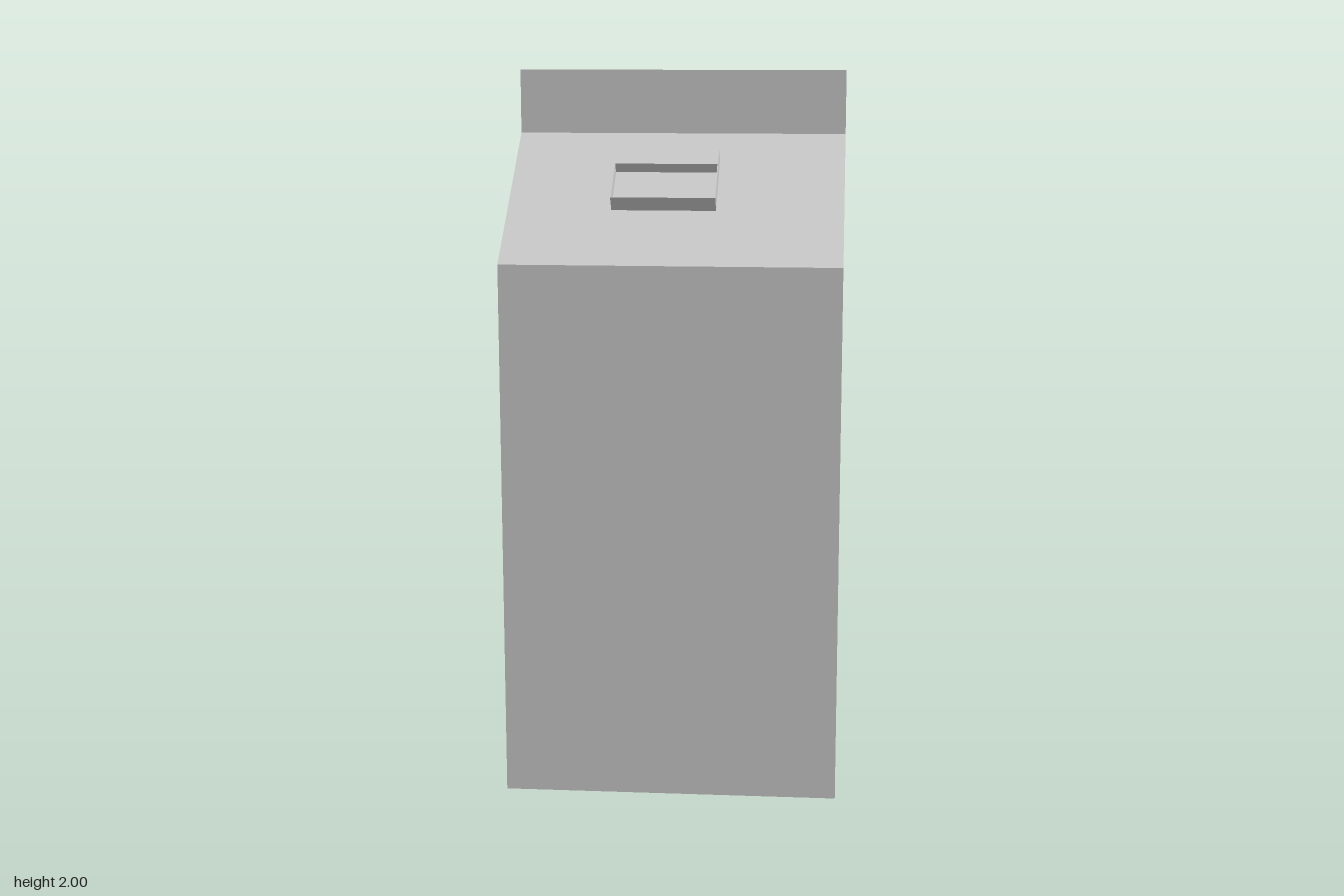
import * as THREE from 'three';

const W = 0.45; // half width of the carton

// Builds a flat-shaded mesh from convex polygons, each given as a loop of [x, y, z] corners
function polyMesh(name, polygons, material) {
  const pos = [];
  for (const p of polygons) {
    for (let i = 1; i < p.length - 1; i++) pos.push(...p[0], ...p[i], ...p[i + 1]);
  }
  const g = new THREE.BufferGeometry();
  g.setAttribute('position', new THREE.Float32BufferAttribute(pos, 3));
  g.computeVertexNormals();
  const m = new THREE.Mesh(g, material);
  m.name = name;
  return m;
}

export function createModel() {
  const root = new THREE.Group();
  root.name = 'carton';
  const card = new THREE.MeshStandardMaterial({ color: 0xcccccc });
  card.name = 'plain card';
  card.side = THREE.DoubleSide;

  // Outer sheet wrapped round the carton: [name, from, to] in (z, y)
  const strips = [
    ['baseFront', [0, 0], [W, 0.06]],
    ['frontWall', [W, 0.06], [W, 1.51]],
    ['frontRoof', [W, 1.51], [0.025, 1.827]],
    ['finFront', [0.025, 1.827], [0.025, 2]],
    ['finTop', [0.025, 2], [0, 1.98]],
    ['finBack', [0, 1.98], [0, 1.845]],
    ['backRoof', [0, 1.845], [-W, 1.51]],
    ['backWall', [-W, 1.51], [-W, 0.06]],
    ['baseBack', [-W, 0.06], [0, 0]],
  ];
  for (const [name, [za, ya], [zb, yb]] of strips) {
    root.add(polyMesh(name, [[[-W, ya, za], [W, ya, za], [W, yb, zb], [-W, yb, zb]]], card));
  }

  // Side walls with the gable folded inwards under the roof edges
  for (const s of [1, -1]) {
    const v = (z, y, depth = 0) => [s * (W - depth), y, z];
    const keel = v(0, 0), lowF = v(W, 0.06), lowB = v(-W, 0.06);
    const eaveF = v(W, 1.51), eaveB = v(-W, 1.51), peak = v(0, 1.845), finFoot = v(0.025, 1.827);
    const inF = v(0.365, 1.47, 0.015), inB = v(-0.365, 1.47, 0.015), inPeak = v(0.04, 1.735, 0.05);
    const add = (name, polys) =>
      root.add(polyMesh(name, s > 0 ? polys : polys.map((p) => p.slice().reverse()), card));
    add('sideWall', [
      [lowF, eaveF, inF].reverse(), [keel, inF, lowF], [keel, inB, inF],
      [keel, lowB, inB], [lowB, eaveB, inB],
    ]);
    add('gablePanel', [[inF, inB, inPeak]]);
    add('gableFoldFront', [[eaveF, inF, inPeak], [eaveF, inPeak, finFoot], [finFoot, inPeak, peak]]);
    add('gableFoldBack', [[eaveB, inPeak, inB], [eaveB, peak, inPeak]]);
    add('finEnd', [[finFoot, peak, v(0, 1.98), v(0.025, 2)]]);
  }

  // Pouring spout lying on the front roof: raised block, sunken tray and thin rim
  const spout = new THREE.Group();
  spout.name = 'spout';
  spout.position.set(-0.03, 1.759, 0.115);
  spout.rotation.x = Math.atan2(0.335, 0.45);
  const box = (name, w, h, d, x, y, z) => {
    const m = new THREE.Mesh(new THREE.BoxGeometry(w, h, d), card);
    m.name = name;
    m.position.set(x, y, z);
    spout.add(m);
  };
  box('spoutBlock', 0.28, 0.046, 0.068, 0, 0.023, 0.034);
  box('spoutTray', 0.276, 0.016, 0.134, 0, 0.008, 0.135);
  box('spoutLip', 0.28, 0.046, 0.002, 0, 0.023, 0.203);
  for (const s of [1, -1]) box('spoutRim', 0.002, 0.046, 0.134, s * 0.139, 0.023, 0.135);
  root.add(spout);

  return root;
}
